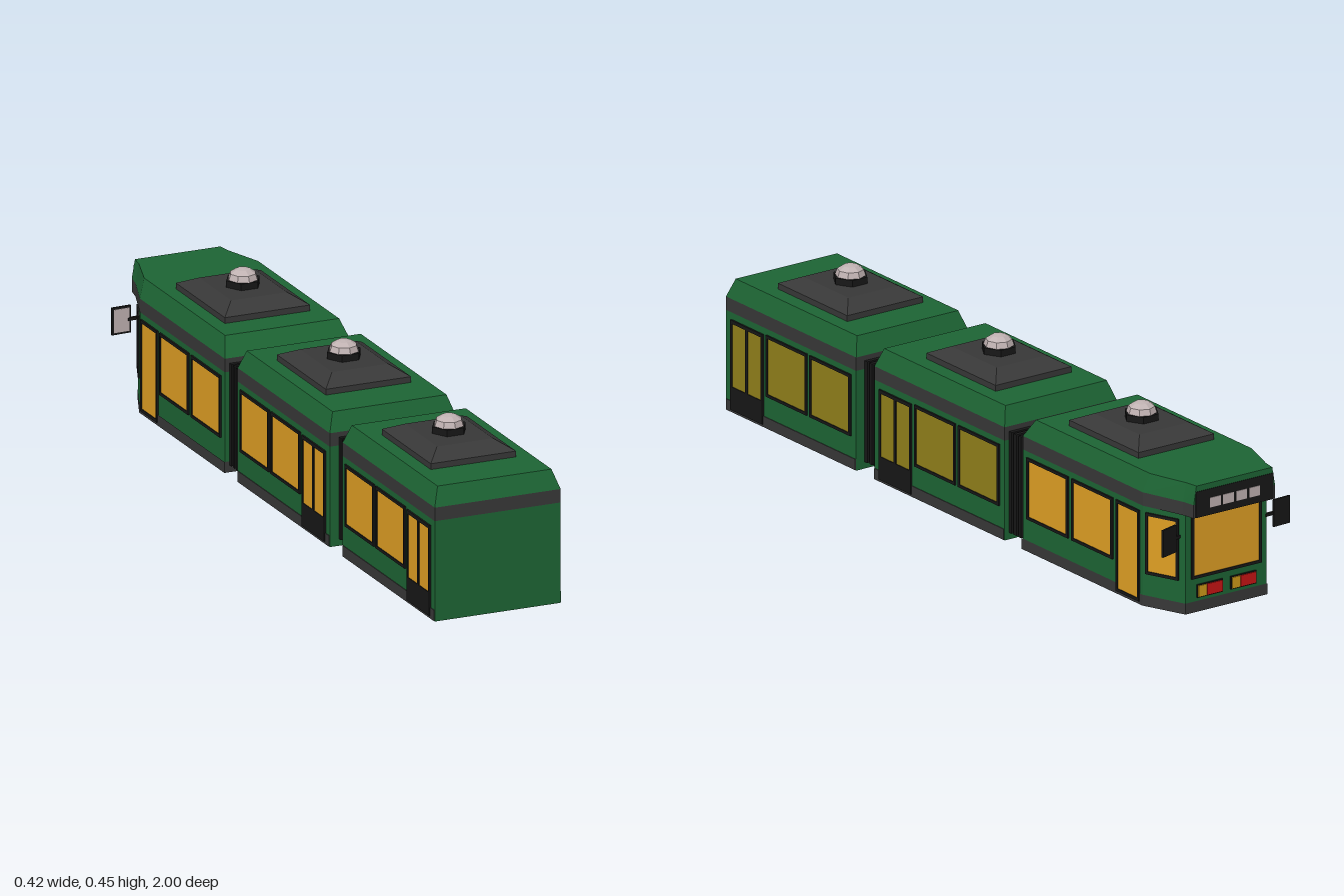
import * as THREE from 'three';

const mat = (color, side = THREE.FrontSide) =>
  new THREE.MeshStandardMaterial({ color, side, flatShading: true });

const M = {
  green: mat(0x1d6534),
  shell: mat(0x1d6534, THREE.DoubleSide),
  dark: mat(0x383838),
  black: mat(0x171717),
  orange: mat(0xe0a024),
  olive: mat(0x92801a),
  amber: mat(0xd09a18),
  red: mat(0xc81414),
  pale: mat(0xc0b2b2),
};

function add(parent, name, geometry, material, x = 0, y = 0, z = 0) {
  const mesh = new THREE.Mesh(geometry, material);
  mesh.name = name;
  mesh.position.set(x, y, z);
  parent.add(mesh);
  return mesh;
}

const box = (w, h, d) => new THREE.BoxGeometry(w, h, d);

// Mirror one side of a plan ([x, z] from rear to front) into a closed outline
const plan = (half) => [...half, ...half.map(([x, z]) => [-x, z]).reverse()];
const rect = (x, zRear, zFront) => plan([[x, zRear], [x, zFront]]);

// Solid between two plan outlines at two heights, with optional end caps
function prism(low, y0, high, y1, capLow = true, capHigh = true) {
  const pos = [], n = low.length;
  const L = (i) => [low[i % n][0], y0, low[i % n][1]];
  const H = (i) => [high[i % n][0], y1, high[i % n][1]];
  for (let i = 0; i < n; i++) {
    pos.push(...L(i), ...L(i + 1), ...H(i + 1), ...L(i), ...H(i + 1), ...H(i));
    if (i > 0 && i < n - 1) {
      if (capHigh) pos.push(...H(0), ...H(i), ...H(i + 1));
      if (capLow) pos.push(...L(0), ...L(i + 1), ...L(i));
    }
  }
  const g = new THREE.BufferGeometry();
  g.setAttribute('position', new THREE.Float32BufferAttribute(pos, 3));
  g.computeVertexNormals();
  return g;
}

// Framed opening facing local +z; panes are [x0, y0, x1, y1] around its centre
function framed(parent, name, w, h, panes, glass, x, y, z, angle) {
  const group = new THREE.Group();
  group.name = name;
  group.position.set(x, y, z);
  group.rotation.y = angle;
  const corners = (x0, y0, x1, y1) =>
    [[x0, y0], [x1, y0], [x1, y1], [x0, y1]].map((p) => new THREE.Vector2(...p));
  const shape = new THREE.Shape(corners(-w / 2, -h / 2, w / 2, h / 2));
  for (const [x0, y0, x1, y1] of panes) {
    shape.holes.push(new THREE.Path(corners(x0, y0, x1, y1)));
    add(group, name + 'Pane', box(x1 - x0, y1 - y0, 0.002), glass, (x0 + x1) / 2, (y0 + y1) / 2, 0.0015);
  }
  const frame = new THREE.ExtrudeGeometry(shape, { depth: 0.01, bevelEnabled: false });
  add(group, name + 'Frame', frame, M.black, 0, 0, -0.005);
  parent.add(group);
}

const onePane = (w, h, t = 0.008) => [[-w / 2 + t, -h / 2 + t, w / 2 - t, h / 2 - t]];

// Window or door on a straight side wall, spanning z0 to z1
function sideOpening(parent, name, side, z0, z1, y0, y1, panes, glass) {
  const w = z0 - z1, h = y1 - y0;
  framed(parent, name, w, h, panes || onePane(w, h), glass,
    side * 0.18, (y0 + y1) / 2, (z0 + z1) / 2, side * Math.PI / 2);
}

// Stepped roof housing with a faceted dome
function roofUnit(parent, z) {
  const unit = new THREE.Group();
  unit.name = 'roofUnit';
  unit.position.set(-0.002, 0.36, z);
  const base = rect(0.122, 0.153, -0.153);
  add(unit, 'housingBase', prism(base, 0, base, 0.02), M.dark);
  add(unit, 'housingTop', prism(base, 0.02, rect(0.08, 0.1, -0.1), 0.045), M.dark);
  add(unit, 'domeCollar', new THREE.CylinderGeometry(0.048, 0.048, 0.018, 6), M.black, 0, 0.054, 0).rotation.y = Math.PI / 6;
  const dome = [[0.041, 0], [0.035, 0.017], [0.02, 0.027], [0, 0.03]].map((p) => new THREE.Vector2(...p));
  add(unit, 'dome', new THREE.LatheGeometry(dome, 8), M.pale, 0, 0.062, 0);
  parent.add(unit);
}

// Passenger car with a double door at the rear and two windows on each side
function passengerCar(name, rear, front) {
  const car = new THREE.Group();
  car.name = name;
  const outline = rect(0.18, rear, front);
  add(car, 'body', prism(outline, 0, outline, 0.276), M.green);
  add(car, 'band', prism(outline, 0.276, outline, 0.313), M.dark);
  add(car, 'roof', prism(outline, 0.313, rect(0.163, rear - 0.02, front + 0.02), 0.364), M.green);
  for (const side of [1, -1]) {
    const glass = side > 0 ? M.olive : M.orange;
    add(car, 'skirt', box(0.004, 0.03, rear - front - 0.004), M.dark, side * 0.18, 0.016, (rear + front) / 2);
    const panes = [[-0.063, -0.06, -0.005, 0.115], [0.005, -0.06, 0.063, 0.115]];
    sideOpening(car, 'doubleDoor', side, rear - 0.025, rear - 0.167, 0.008, 0.257, panes, glass);
    sideOpening(car, 'window', side, rear - 0.181, rear - 0.361, 0.09, 0.26, null, glass);
    sideOpening(car, 'window', side, rear - 0.374, rear - 0.554, 0.09, 0.26, null, glass);
  }
  roofUnit(car, rear - 0.3);
  return car;
}

// Lead car: open-bottomed shell with a tapered cab and overhanging roof
function leadCar() {
  const car = new THREE.Group();
  car.name = 'leadCar';
  const wall = plan([[0.18, -0.31], [0.18, -0.84], [0.13, -0.96]]);
  const trim = plan([[0.182, -0.308], [0.182, -0.84], [0.1315, -0.962]]);
  const eave = plan([[0.18, -0.31], [0.18, -0.84], [0.138, -0.96], [0.131, -0.997]]);
  const top = plan([[0.163, -0.345], [0.163, -0.85], [0.128, -0.96], [0.122, -0.997]]);
  add(car, 'body', prism(wall, 0, wall, 0.276, false, false), M.shell);
  add(car, 'skirt', prism(trim, 0, trim, 0.03, false, false), M.dark);
  add(car, 'band', prism(eave, 0.276, eave, 0.313), M.dark);
  add(car, 'roof', prism(eave, 0.313, top, 0.364), M.green);
  for (const side of [1, -1]) {
    sideOpening(car, 'window', side, -0.332, -0.514, 0.09, 0.26, null, M.orange);
    sideOpening(car, 'window', side, -0.53, -0.71, 0.09, 0.26, null, M.orange);
    sideOpening(car, 'cabDoor', side, -0.725, -0.828, 0.008, 0.26, null, M.orange);
    framed(car, 'cabWindow', 0.1, 0.17, onePane(0.1, 0.17), M.orange,
      side * 0.157, 0.175, -0.895, side * Math.atan2(0.12, -0.05));

    // Wing mirror on a short arm, glass facing the rear
    const mirror = new THREE.Group();
    mirror.name = 'mirror';
    mirror.position.set(side * 0.181, side > 0 ? 0.212 : 0.218, -0.956);
    mirror.rotation.y = side > 0 ? 0.28 : 0.05;
    add(mirror, 'mirrorCase', box(0.055, 0.075, 0.006), M.black);
    add(mirror, 'mirrorGlass', box(0.045, 0.064, 0.002), M.pale, 0, 0, 0.003);
    add(mirror, 'mirrorArm', box(0.035, 0.008, 0.008), M.black, -side * 0.036, 0, 0.002);
    car.add(mirror);

    // Lamp cluster
    const x = side * 0.054;
    add(car, 'lampHousing', box(0.082, 0.036, 0.008), M.black, x, 0.057, -0.961);
    add(car, 'amberLamp', box(0.026, 0.031, 0.012), M.amber, x + 0.026, 0.057, -0.962);
    add(car, 'redLamp', box(0.05, 0.031, 0.012), M.red, x - 0.013, 0.057, -0.962);
  }
  framed(car, 'windscreen', 0.225, 0.178, onePane(0.225, 0.178), M.orange, 0, 0.182, -0.96, Math.PI);

  // Blank display board above the windscreen
  add(car, 'displayBoard', box(0.25, 0.072, 0.006), M.black, 0, 0.312, -0.9955);
  for (let i = 0; i < 4; i++)
    add(car, 'displayTile', box(0.034, 0.027, 0.004), M.pale, (i - 1.5) * 0.042, 0.31, -0.998);
  roofUnit(car, -0.585);
  return car;
}

// Folded joint between cars
function bellows(z, length, halfWidth) {
  const joint = new THREE.Group();
  joint.name = 'bellows';
  add(joint, 'bellowsCore', box(halfWidth * 2 - 0.02, 0.26, length), M.black, 0, 0.16, z);
  for (let i = 0; i < 4; i++)
    add(joint, 'bellowsFold', box(halfWidth * 2, 0.28, length / 7), M.black, 0, 0.16, z + (i - 1.5) * length / 4);
  return joint;
}

export function createModel() {
  const tram = new THREE.Group();
  tram.name = 'articulatedTram';
  tram.add(
    passengerCar('rearCar', 1, 0.425),
    passengerCar('middleCar', 0.345, -0.23),
    leadCar(),
    bellows(0.385, 0.084, 0.155),
    bellows(-0.27, 0.084, 0.168),
  );
  return tram;
}
